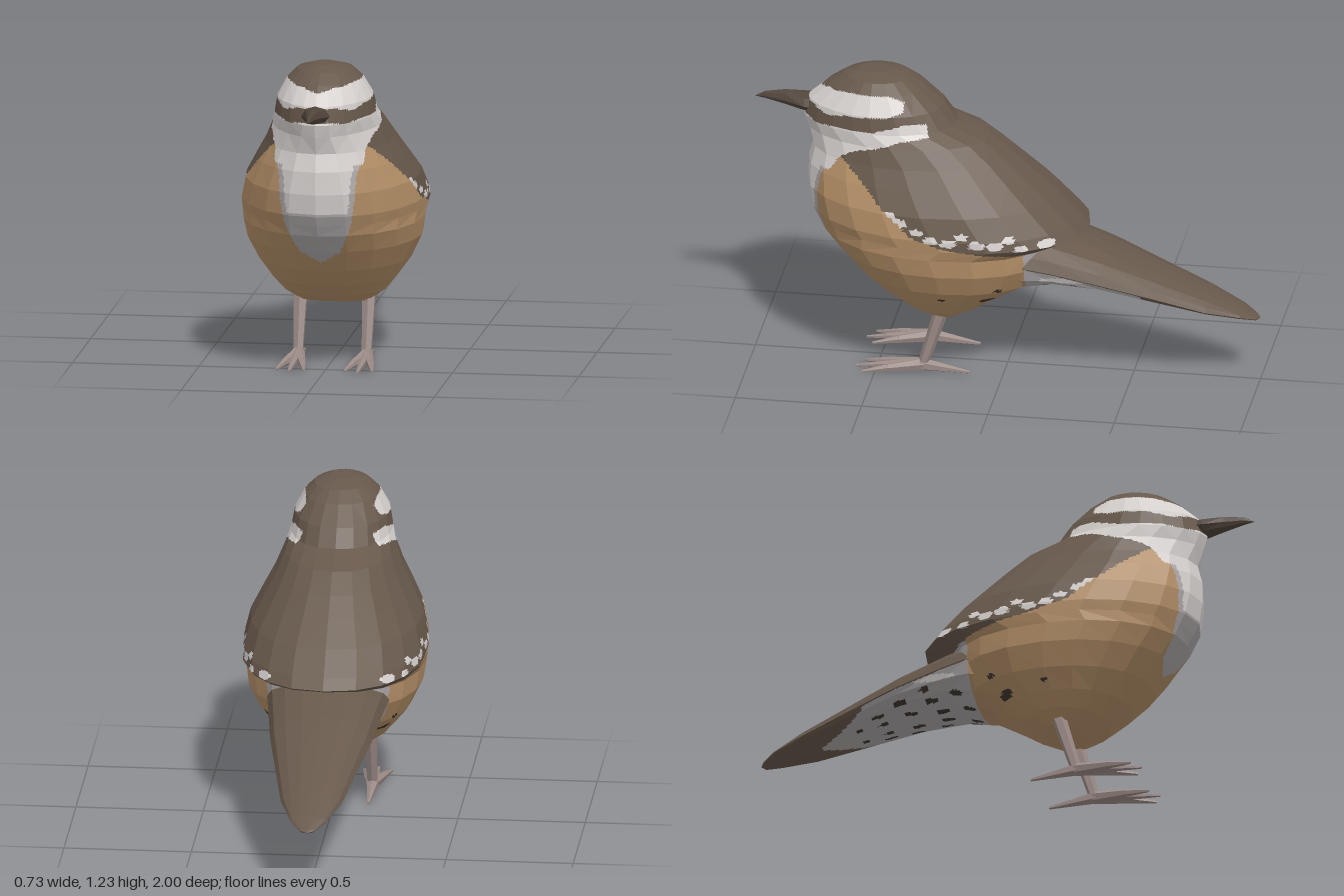
import * as THREE from 'three';

const paint = (name, color) => Object.assign(new THREE.MeshStandardMaterial({ color }), { name });
const V = (x, y, z) => new THREE.Vector3(x, y, z);

// Interpolated lookup in a short list of [key, value] pairs with rising keys
function curve(points, k) {
  if (k <= points[0][0]) return points[0][1];
  for (let i = 1; i < points.length; i++) {
    const [a, va] = points[i - 1], [b, vb] = points[i];
    if (k <= b) return va + (vb - va) * (k - a) / (b - a);
  }
  return points[points.length - 1][1];
}

// Point inside polygon test for painted patches, given as [z, y] corners
function inside(poly, z, y) {
  let hit = false;
  for (let i = 0, j = poly.length - 1; i < poly.length; j = i++) {
    const [zi, yi] = poly[i], [zj, yj] = poly[j];
    if ((yi > y) !== (yj > y) && z < (zj - zi) * (y - yi) / (yj - yi) + zi) hit = !hit;
  }
  return hit;
}

const inSpot = (spots, u, v, ru, rv) =>
  spots.some(([a, b, s = 1]) => ((u - a) / (ru * s)) ** 2 + ((v - b) / (rv * s)) ** 2 < 1);

// Faceted skin over rings; each facet is cut finely so that patches get clean borders
function loft(name, rings, materials, sub = 1, pick = () => 0) {
  const buckets = materials.map(() => []);
  const facet = (a, b, c) => {
    const ab = b.clone().sub(a).divideScalar(sub), ac = c.clone().sub(a).divideScalar(sub);
    if (ab.clone().cross(ac).length() < 1e-9) return;
    const at = (i, j) => a.clone().addScaledVector(ab, i).addScaledVector(ac, j);
    const put = (p, q, r) => {
      const mid = p.clone().add(q).add(r).divideScalar(3);
      for (const v of [p, q, r]) buckets[pick(mid)].push(v.x, v.y, v.z);
    };
    for (let i = 0; i < sub; i++) for (let j = 0; i + j < sub; j++) {
      put(at(i, j), at(i + 1, j), at(i, j + 1));
      if (i + j < sub - 1) put(at(i + 1, j), at(i + 1, j + 1), at(i, j + 1));
    }
  };
  for (let r = 0; r < rings.length - 1; r++) {
    const lo = rings[r], hi = rings[r + 1], n = lo.length;
    for (let i = 0; i < n; i++) {
      const k = (i + 1) % n;
      // diagonals are mirrored so both sides match
      if (i < n / 2) { facet(lo[i], lo[k], hi[k]); facet(lo[i], hi[k], hi[i]); }
      else { facet(lo[i], lo[k], hi[i]); facet(lo[k], hi[k], hi[i]); }
    }
  }
  const geo = new THREE.BufferGeometry();
  geo.setAttribute('position', new THREE.Float32BufferAttribute(buckets.flat(), 3));
  let start = 0;
  buckets.forEach((b, m) => { geo.addGroup(start, b.length / 3, m); start += b.length / 3; });
  geo.computeVertexNormals();
  const mesh = new THREE.Mesh(geo, materials);
  mesh.name = name;
  return mesh;
}

// Ring standing across z, with separate upper and lower heights
function crossRing(n, z, top, mid, bottom, w) {
  return Array.from({ length: n }, (_, i) => {
    const t = i / n * Math.PI * 2, c = Math.cos(t);
    return V(w * Math.sin(t), mid + c * (c > 0 ? top - mid : mid - bottom), z);
  });
}

// Level ring at height y, from front z to back z
function levelRing(n, [y, front, back, w]) {
  const c = (front + back) / 2, a = (front - back) / 2;
  return Array.from({ length: n }, (_, i) => {
    const t = i / n * Math.PI * 2, s = Math.sin(t), k = Math.cos(t);
    const e = k < 0 ? 0.9 : y > 0.95 ? 1.15 : 1;
    return V(w * Math.sign(s) * Math.abs(s) ** e, y, c + a * Math.sign(k) * Math.abs(k) ** e);
  });
}

// Tapered limb between two points
function limb(name, a, b, ra, rb, material) {
  const dir = b.clone().sub(a);
  const mesh = new THREE.Mesh(new THREE.CylinderGeometry(rb, ra, dir.length(), 6).toNonIndexed(), material);
  mesh.geometry.computeVertexNormals();
  mesh.position.copy(a).addScaledVector(dir, 0.5);
  mesh.quaternion.setFromUnitVectors(V(0, 1, 0), dir.normalize());
  mesh.name = name;
  return mesh;
}

export function createModel() {
  const bird = new THREE.Group();
  bird.name = 'bird';
  const brown = paint('brown plumage', 0x67584b), tan = paint('tan flank', 0xb59068);
  const white = paint('white plumage', 0xd6d1cf), gray = paint('pale gray plumage', 0xaea9aa);
  const dark = paint('dark spots', 0x3f362f), horn = paint('bill brown', 0x51453b);
  const skin = paint('leg skin', 0x9b8b87);
  const coat = [brown, tan, white, gray, dark];
  const BROWN = 0, TAN = 1, WHITE = 2, GRAY = 3, DARK = 4;

  // Plumage borders
  const brow = [[0.83, 1.085], [0.77, 1.135], [0.7, 1.16], [0.6, 1.172], [0.45, 1.172], [0.39, 1.15],
    [0.39, 1.115], [0.46, 1.095], [0.54, 1.095], [0.62, 1.09], [0.7, 1.075], [0.77, 1.095]];
  const cheek = [[0.85, 1.045], [0.74, 1.03], [0.62, 1.04], [0.5, 1.04], [0.38, 1.07], [0.3, 1.065],
    [0.29, 1.02], [0.4, 1.005], [0.48, 0.98], [0.58, 0.955], [0.64, 0.92], [0.68, 0.86], [0.85, 0.86]];
  const wingEdge = [[-0.35, 0.57], [-0.2, 0.575], [0, 0.6], [0.2, 0.63], [0.33, 0.67], [0.45, 0.765],
    [0.55, 0.86], [0.64, 0.93]];
  const breast = [[0.45, 0], [0.5, 0.08], [0.6, 0.125], [0.7, 0.145], [0.8, 0.152], [0.9, 0.17]];
  const wingSpots = [[0.43, 0.745], [0.38, 0.72], [0.31, 0.69, 0.8], [0.25, 0.665, 0.9], [0.18, 0.655],
    [0.13, 0.68, 0.8], [0.07, 0.65], [0, 0.645], [-0.05, 0.665, 0.8], [-0.1, 0.63, 0.8], [-0.19, 0.635]];
  const flankSpots = [[0.22, 0.37, 0.5], [0.05, 0.355], [0.0, 0.42, 0.6]];
  const tailSpots = [[0.06, -0.14], [0.15, -0.17], [0.04, -0.25], [0.12, -0.28], [0.18, -0.29, 0.8],
    [0.06, -0.38], [0.14, -0.4], [0.04, -0.49, 0.8], [0.1, -0.5, 0.8], [0.05, -0.59, 0.7]];

  const bodyPaint = ({ x, y, z }) => {
    const side = Math.abs(x);
    if (inside(brow, z, y) || inside(cheek, z, y)) return WHITE;
    if (y < 0.93 && z > 0.5 && y > 0.45 && side < curve(breast, y))
      return y < 0.67 || side > curve(breast, y) - 0.02 ? GRAY : WHITE;
    if (y > 0.93 || y > curve(wingEdge, z)) return inSpot(wingSpots, z, y, 0.032, 0.017) ? WHITE : BROWN;
    if (inSpot(flankSpots, z, y, 0.028, 0.014)) return DARK;
    return z < -0.1 ? GRAY : TAN;
  };

  // Body and head: height, front z, back z, half width
  const levels = [[0.24, 0.24, 0.238, 0.001], [0.237, 0.31, 0.17, 0.14], [0.28, 0.41, 0.08, 0.2],
    [0.335, 0.5, -0.01, 0.245], [0.41, 0.59, -0.14, 0.3], [0.5, 0.67, -0.2, 0.343],
    [0.575, 0.73, -0.21, 0.354], [0.62, 0.755, -0.325, 0.362], [0.66, 0.775, -0.29, 0.363],
    [0.75, 0.79, -0.2, 0.34], [0.84, 0.788, -0.1, 0.29], [0.91, 0.77, -0.02, 0.25],
    [0.98, 0.795, 0.07, 0.218], [1.03, 0.81, 0.2, 0.2], [1.1, 0.79, 0.25, 0.187],
    [1.17, 0.71, 0.33, 0.15], [1.21, 0.65, 0.39, 0.11], [1.23, 0.59, 0.47, 0.05], [1.231, 0.53, 0.528, 0.001]];
  bird.add(loft('body', levels.map(l => levelRing(20, l)), coat, 9, bodyPaint));

  // Tail: z, top, edge, bottom, half width
  const tailRows = [[0.05, 0.62, 0.5, 0.325, 0.2], [-0.1, 0.63, 0.515, 0.365, 0.24],
    [-0.2, 0.61, 0.495, 0.393, 0.226], [-0.4, 0.54, 0.445, 0.385, 0.2], [-0.6, 0.455, 0.385, 0.34, 0.16],
    [-0.8, 0.37, 0.322, 0.3, 0.12], [-0.93, 0.305, 0.288, 0.272, 0.07], [-0.985, 0.275, 0.267, 0.258, 0.03],
    [-1, 0.265, 0.264, 0.263, 0.001]];
  const tailEdge = tailRows.map(r => [r[0], r[2]]).reverse();
  const tailPaint = ({ x, y, z }) => {
    const side = Math.abs(x);
    if (y > curve(tailEdge, z) - 0.004) return BROWN;
    if (z > -0.1) return TAN;
    if (z < -0.76 + side * 1.3) return BROWN;
    if (inSpot([[-0.26, 0.463]], z, y, 0.11, 0.012)) return WHITE;
    return inSpot(tailSpots, side, z, 0.016, 0.026) ? DARK : GRAY;
  };
  bird.add(loft('tail', tailRows.map(r => crossRing(16, ...r)), coat, 8, tailPaint));

  // Bill, from the tip back into the face
  const billRows = [[1, 1.076, 1.075, 1.074, 0.001], [0.96, 1.098, 1.08, 1.068, 0.013],
    [0.88, 1.111, 1.075, 1.05, 0.03], [0.8, 1.105, 1.065, 1.035, 0.055], [0.72, 1.1, 1.06, 1.03, 0.06]];
  bird.add(loft('bill', billRows.map(r => crossRing(8, ...r)), [horn]));

  // Legs and feet
  for (const s of [-1, 1]) {
    const leg = new THREE.Group();
    leg.name = s > 0 ? 'leftLeg' : 'rightLeg';
    const ankle = V(s * 0.135, 0.03, 0.315);
    leg.add(limb('shin', V(s * 0.135, 0.29, 0.235), ankle, 0.03, 0.021, skin));
    for (const spread of [-0.055, 0, 0.055]) {
      const knuckle = V(ankle.x + spread * 0.6, 0.019, 0.45);
      const tip = V(ankle.x + spread, 0.006, spread ? 0.55 : 0.58);
      leg.add(limb('toe', ankle, knuckle, 0.026, 0.016, skin), limb('claw', knuckle, tip, 0.016, 0.005, skin));
    }
    leg.add(limb('hindToe', ankle, V(ankle.x, 0.008, 0.13), 0.026, 0.006, skin));
    bird.add(leg);
  }
  return bird;
}
